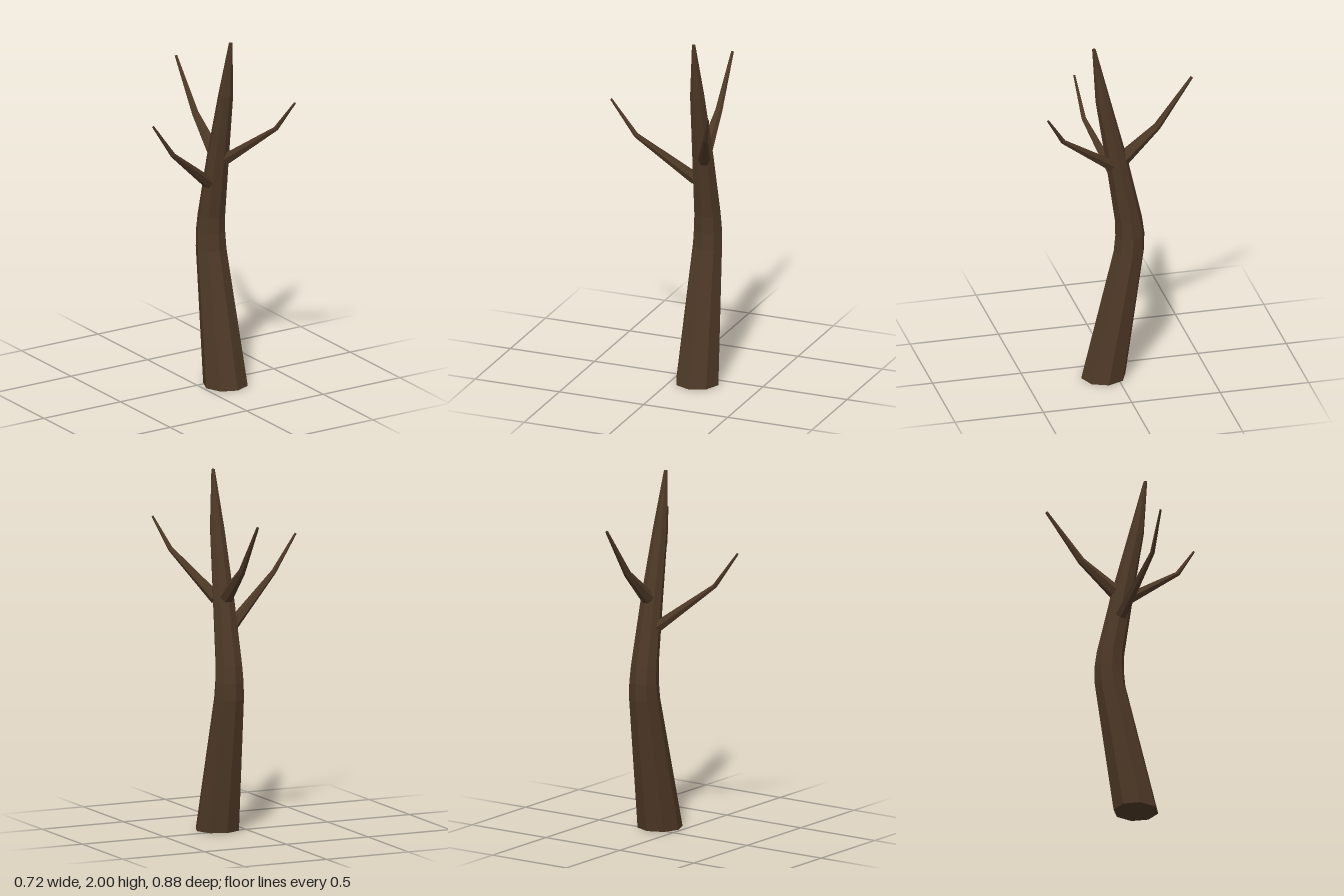
import * as THREE from 'three';

const bark = new THREE.MeshStandardMaterial({ color: 0x4d3826, flatShading: true });

// Closed tapered tube through stations [x, y, z, radius].
// Rings stay level, or turn square to the path when `level` is false.
function taperedLimb(name, stations, sides, level) {
  const centres = stations.map(([x, y, z]) => new THREE.Vector3(x, y, z));
  const position = [];
  const index = [];
  const last = stations.length - 1;

  centres.forEach((c, i) => {
    const w = level
      ? new THREE.Vector3(0, 1, 0)
      : centres[Math.min(i + 1, last)].clone().sub(centres[Math.max(i - 1, 0)]).normalize();
    const side = level ? new THREE.Vector3(1, 0, 0) : new THREE.Vector3(0, 1, 0).cross(w).normalize();
    const v = w.clone().cross(side);
    for (let k = 0; k < sides; k++) {
      const a = (k / sides) * Math.PI * 2;
      const p = c.clone()
        .addScaledVector(side, Math.cos(a) * stations[i][3])
        .addScaledVector(v, Math.sin(a) * stations[i][3]);
      position.push(p.x, p.y, p.z);
    }
  });

  // Bark between rings
  for (let i = 0; i < last; i++) {
    for (let k = 0; k < sides; k++) {
      const n = (k + 1) % sides;
      const a = i * sides + k, b = i * sides + n;
      index.push(a, b, b + sides, a, b + sides, a + sides);
    }
  }
  // End caps
  for (let k = 1; k < sides - 1; k++) {
    const t = last * sides;
    index.push(0, k + 1, k, t, t + k, t + k + 1);
  }

  const geometry = new THREE.BufferGeometry();
  geometry.setAttribute('position', new THREE.Float32BufferAttribute(position, 3));
  geometry.setIndex(index);
  const flat = geometry.toNonIndexed();
  flat.computeVertexNormals();
  const mesh = new THREE.Mesh(flat, bark);
  mesh.name = name;
  return mesh;
}

export function createModel() {
  const tree = new THREE.Group();
  tree.name = 'bareTree';

  // Leaning, bent trunk with eight sides
  tree.add(taperedLimb('trunk', [
    [0.14, 0, 0.07, 0.125],
    [0.14, 0.755, -0.075, 0.086],
    [0.14, 0.85, -0.08, 0.082],
    [0.14, 0.945, -0.072, 0.077],
    [0.14, 1.3, -0.007, 0.062],
    [0.14, 1.68, 0.072, 0.042],
    [0.14, 2, 0.123, 0.01],
  ], 8, true));

  // Three kinked branches
  const branches = {
    rightBranch: [[0.09, 1.155, -0.022, 0.034], [-0.215, 1.405, 0.09, 0.014], [-0.357, 1.604, 0.108, 0.006]],
    leftBranch: [[0.165, 1.295, 0.035, 0.034], [0.298, 1.535, 0.335, 0.014], [0.356, 1.703, 0.437, 0.006]],
    backBranch: [[0.14, 1.315, -0.045, 0.04], [0.14, 1.487, -0.235, 0.021], [0.14, 1.764, -0.43, 0.008]],
  };
  for (const [name, stations] of Object.entries(branches)) {
    tree.add(taperedLimb(name, stations, 6, false));
  }
  return tree;
}
